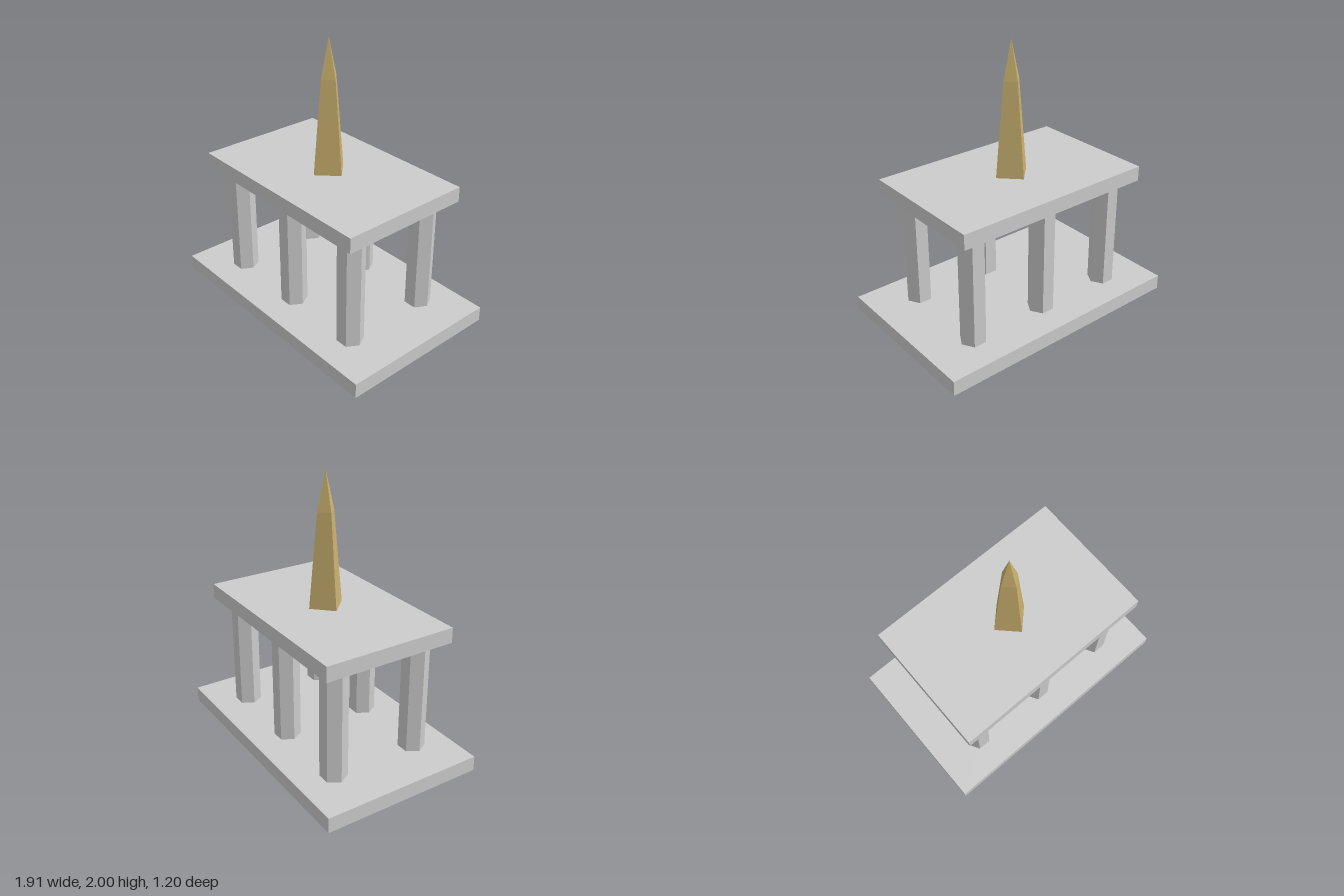
import * as THREE from 'three';

const stone = new THREE.MeshStandardMaterial({ color: 0xcccccc, flatShading: true });
const gold = new THREE.MeshStandardMaterial({ color: 0xc9b06e, flatShading: true });

export function createModel() {
  const model = new THREE.Group();

  // Adds a mesh whose geometry spans from y0 upwards by its height
  function add(name, geometry, material, x, y0, z, height) {
    const mesh = new THREE.Mesh(geometry, material);
    mesh.name = name;
    mesh.position.set(x, y0 + height / 2, z);
    model.add(mesh);
  }

  // Base and roof slabs
  const slab = 0.11, columnHeight = 0.825;
  const roofY = slab + columnHeight, roofTop = roofY + slab;
  add('base', new THREE.BoxGeometry(1.91, slab, 1.2), stone, 0, 0, 0, slab);
  add('roof', new THREE.BoxGeometry(1.53, slab, 0.98), stone, 0, roofY, 0, slab);

  // Two rows of three hexagonal columns, corners pointing along x
  const column = new THREE.CylinderGeometry(0.095, 0.095, columnHeight, 6).rotateY(Math.PI / 6);
  for (const z of [0.327, -0.327]) {
    for (const x of [-0.6, 0, 0.6]) add('column', column, stone, x, slab, z, columnHeight);
  }

  // Four-sided tapering spire with a steeper pointed tip
  const shaft = 0.675, tip = 2 - roofTop - shaft;
  add('spireShaft', new THREE.CylinderGeometry(0.068, 0.135, shaft, 4), gold, 0, roofTop, 0, shaft);
  add('spireTip', new THREE.ConeGeometry(0.068, tip, 4, 1, true), gold, 0, roofTop + shaft, 0, tip);

  return model;
}
